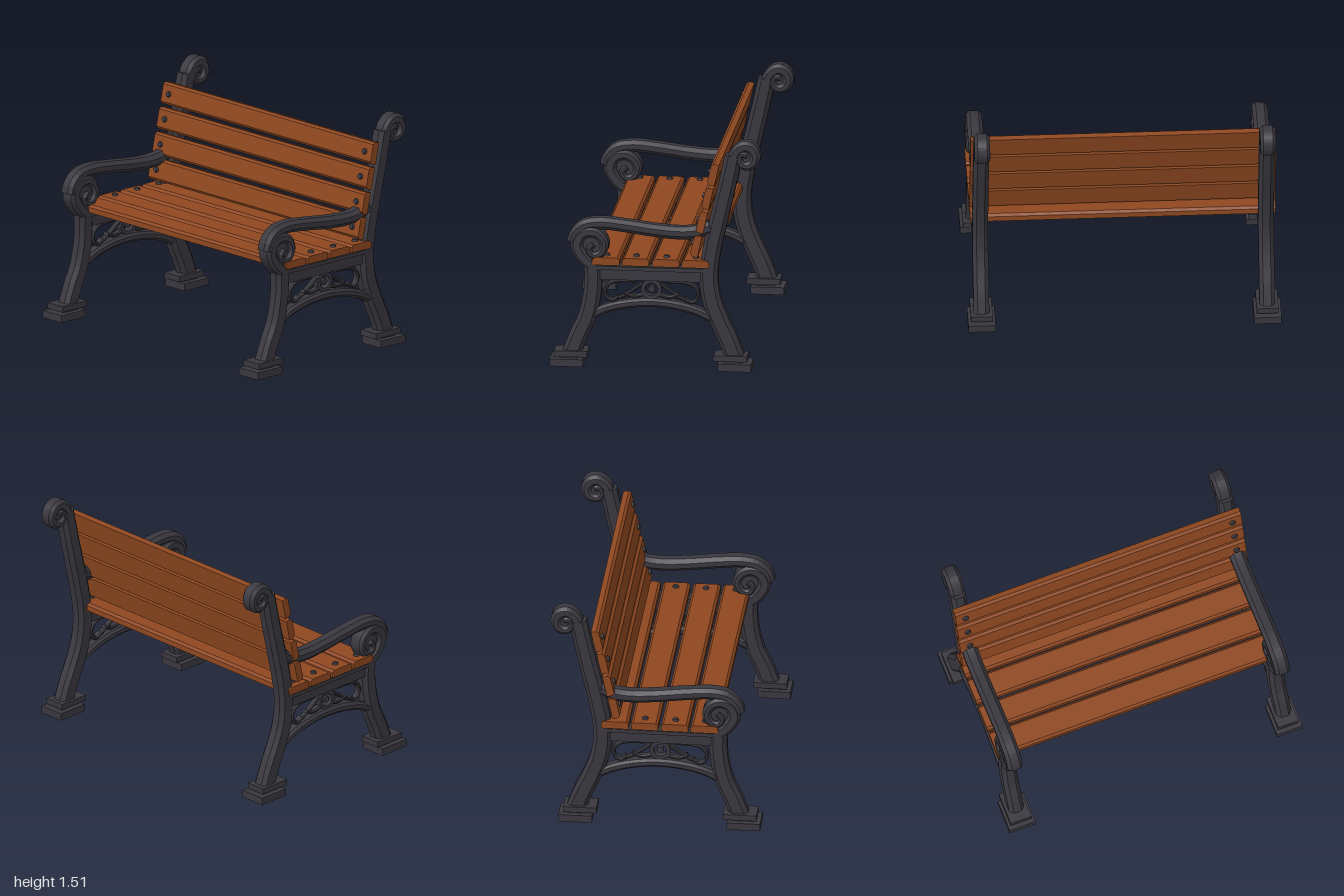
import * as THREE from 'three';

const iron = new THREE.MeshStandardMaterial({ color: 0x3a383f });
iron.name = 'cast iron';
const wood = new THREE.MeshStandardMaterial({ color: 0x8f4820 });
wood.name = 'stained wood';

const mesh = (name, geometry, material, x = 0, y = 0, z = 0) => {
  const m = new THREE.Mesh(geometry, material);
  m.name = name;
  m.position.set(x, y, z);
  return m;
};

// Chamfered bar swept along [z, y] points; width tapers from w0 to w1, halfX is half its depth in x
function sweep(points, w0, w1, halfX, chamfer, steps, taperFrom = 0) {
  const curve = new THREE.CatmullRomCurve3(points.map(([z, y]) => new THREE.Vector3(0, y, z)));
  const rings = [];
  for (let i = 0; i <= steps; i++) {
    const u = i / steps;
    const p = curve.getPointAt(u), t = curve.getTangentAt(u);
    const k = Math.max(0, (u - taperFrom) / (1 - taperFrom));
    const h = (w0 + (w1 - w0) * k) / 2;
    const c = Math.min(chamfer, h * 0.6);
    const section = [
      [halfX, -h + c], [halfX, h - c], [halfX - c, h], [-halfX + c, h],
      [-halfX, h - c], [-halfX, -h + c], [-halfX + c, -h], [halfX - c, -h],
    ];
    rings.push(section.map(([x, n]) => [x, p.y - t.z * n, p.z + t.y * n]));
  }
  const pos = [];
  const tri = (a, b, c) => pos.push(...a, ...b, ...c);
  for (let i = 0; i < steps; i++) {
    for (let j = 0; j < 8; j++) {
      const k = (j + 1) % 8;
      const a = rings[i][j], b = rings[i][k], c = rings[i + 1][k], d = rings[i + 1][j];
      tri(a, d, c);
      tri(a, c, b);
    }
  }
  for (let j = 1; j < 7; j++) {
    tri(rings[0][0], rings[0][j], rings[0][j + 1]);
    tri(rings[steps][0], rings[steps][j + 1], rings[steps][j]);
  }
  const g = new THREE.BufferGeometry();
  g.setAttribute('position', new THREE.Float32BufferAttribute(pos, 3));
  g.computeVertexNormals();
  return g;
}

// Disc whose axis runs along x
const disc = (r, depth, sides = 20) => new THREE.CylinderGeometry(r, r, depth, sides).rotateZ(Math.PI / 2);

// Plank with its two outer edges chamfered, running along x
function plankGeometry(width, thick) {
  const w = width / 2, t = thick / 2, c = 0.015;
  const s = new THREE.Shape();
  s.moveTo(-w, -t);
  s.lineTo(w, -t);
  s.lineTo(w, t - c);
  s.lineTo(w - c, t);
  s.lineTo(-w + c, t);
  s.lineTo(-w, t - c);
  s.closePath();
  return new THREE.ExtrudeGeometry(s, { depth: 1.95, bevelEnabled: false })
    .translate(0, 0, -0.975).rotateY(Math.PI / 2);
}

function slat(name, width, thick, y, z, tilt) {
  const g = new THREE.Group();
  g.name = name;
  g.add(mesh('plank', plankGeometry(width, thick), wood));
  for (const x of [-0.91, 0.91]) {
    g.add(mesh('bolt', new THREE.CylinderGeometry(0.017, 0.021, 0.014, 8), iron, x, thick / 2 + 0.006, 0));
  }
  g.position.set(0, y, z);
  g.rotation.x = tilt;
  return g;
}

function endFrame(x) {
  const f = new THREE.Group();
  f.name = 'endFrame';
  f.position.x = x;

  // Front leg and its scroll
  f.add(mesh('frontLeg', sweep([[0.54, 0.08], [0.495, 0.2], [0.445, 0.31], [0.413, 0.45],
    [0.403, 0.56], [0.41, 0.7]], 0.12, 0.11, 0.05, 0.025, 18), iron));
  f.add(mesh('frontScroll', sweep([[0.41, 0.66], [0.47, 0.715], [0.508, 0.79], [0.48, 0.86],
    [0.415, 0.882], [0.352, 0.85], [0.33, 0.79], [0.36, 0.735], [0.41, 0.73], [0.43, 0.77],
    [0.4, 0.8]], 0.08, 0.035, 0.055, 0.018, 48, 0.3), iron));
  f.add(mesh('frontScrollWeb', disc(0.1, 0.06), iron, 0, 0.79, 0.416));

  // Armrest
  f.add(mesh('armrest', sweep([[0.535, 0.81], [0.515, 0.87], [0.46, 0.92], [0.36, 0.938],
    [0.2, 0.925], [0, 0.9], [-0.15, 0.89], [-0.26, 0.9], [-0.35, 0.935]], 0.075, 0.085, 0.05, 0.025, 40), iron));

  // Back post and its scroll
  f.add(mesh('backPost', sweep([[-0.505, 0.08], [-0.46, 0.2], [-0.405, 0.32], [-0.355, 0.46],
    [-0.337, 0.62], [-0.36, 0.8], [-0.405, 1.0], [-0.452, 1.2], [-0.497, 1.41]],
    0.125, 0.11, 0.05, 0.025, 30), iron));
  f.add(mesh('backScroll', sweep([[-0.495, 1.36], [-0.51, 1.43], [-0.565, 1.475], [-0.615, 1.46],
    [-0.637, 1.41], [-0.615, 1.36], [-0.565, 1.35], [-0.535, 1.385], [-0.55, 1.425],
    [-0.585, 1.42]], 0.075, 0.035, 0.05, 0.02, 40, 0.4), iron));
  f.add(mesh('backScrollWeb', disc(0.075, 0.06), iron, 0, 1.413, -0.575));

  // Stepped feet
  for (const [baseZ, stepZ] of [[0.57, 0.545], [-0.508, -0.48]]) {
    f.add(mesh('footBase', new THREE.BoxGeometry(0.175, 0.048, 0.215), iron, 0, 0.024, baseZ));
    f.add(mesh('footNeck', new THREE.BoxGeometry(0.1, 0.02, 0.12), iron, 0, 0.053, (baseZ + stepZ) / 2));
    f.add(mesh('footStep', new THREE.BoxGeometry(0.14, 0.038, 0.215), iron, 0, 0.079, stepZ));
  }

  // Seat rail and the arch below it
  f.add(mesh('seatRail', new THREE.BoxGeometry(0.07, 0.07, 0.7), iron, 0, 0.605, 0.03));
  f.add(mesh('railLip', new THREE.BoxGeometry(0.1, 0.025, 0.7), iron, 0, 0.65, 0.03));
  f.add(mesh('archBrace', sweep([[0.42, 0.325], [0.33, 0.372], [0.2, 0.407], [0.03, 0.423],
    [-0.14, 0.407], [-0.27, 0.372], [-0.37, 0.325]], 0.055, 0.055, 0.04, 0.015, 24), iron));

  // Rosette
  const ring = new THREE.Shape().absarc(0, 0, 0.066, 0, Math.PI * 2);
  ring.holes.push(new THREE.Path().absarc(0, 0, 0.042, 0, Math.PI * 2, true));
  const ringGeometry = new THREE.ExtrudeGeometry(ring, { depth: 0.05, bevelEnabled: false, curveSegments: 16 })
    .translate(0, 0, -0.025).rotateY(Math.PI / 2);
  f.add(mesh('rosetteRing', ringGeometry, iron, 0, 0.513, 0.03));
  f.add(mesh('rosetteCentre', disc(0.022, 0.04, 12), iron, 0, 0.513, 0.03));

  // Mirrored scrollwork on both sides of the rosette
  for (const s of [1, -1]) {
    const flip = (pts) => pts.map(([z, y]) => [0.03 + s * z, y]);
    f.add(mesh('largeCurl', sweep(flip([[0.1, 0.565], [0.2, 0.562], [0.27, 0.54], [0.3, 0.49],
      [0.285, 0.445], [0.25, 0.43], [0.215, 0.455]]), 0.026, 0.022, 0.022, 0.007, 24), iron));
    f.add(mesh('smallCurl', sweep(flip([[0.05, 0.475], [0.09, 0.463], [0.13, 0.462],
      [0.175, 0.482]]), 0.024, 0.02, 0.022, 0.007, 12), iron));
    f.add(mesh('lowerCurl', sweep(flip([[0.06, 0.545], [0.12, 0.5], [0.19, 0.455],
      [0.25, 0.43]]), 0.02, 0.02, 0.018, 0.006, 12), iron));
  }
  return f;
}

export function createModel() {
  const bench = new THREE.Group();
  bench.name = 'parkBench';
  for (const x of [-0.912, 0.912]) bench.add(endFrame(x));

  // Seat and backrest slats
  for (const z of [0.318, 0.128, -0.066, -0.256]) bench.add(slat('seatSlat', 0.174, 0.05, 0.697, z, 0));
  for (let i = 0; i < 4; i++) {
    bench.add(slat('backSlat', 0.142, 0.05, 0.816 + i * 0.159, -0.26 - i * 0.0365, 1.356));
  }
  return bench;
}
